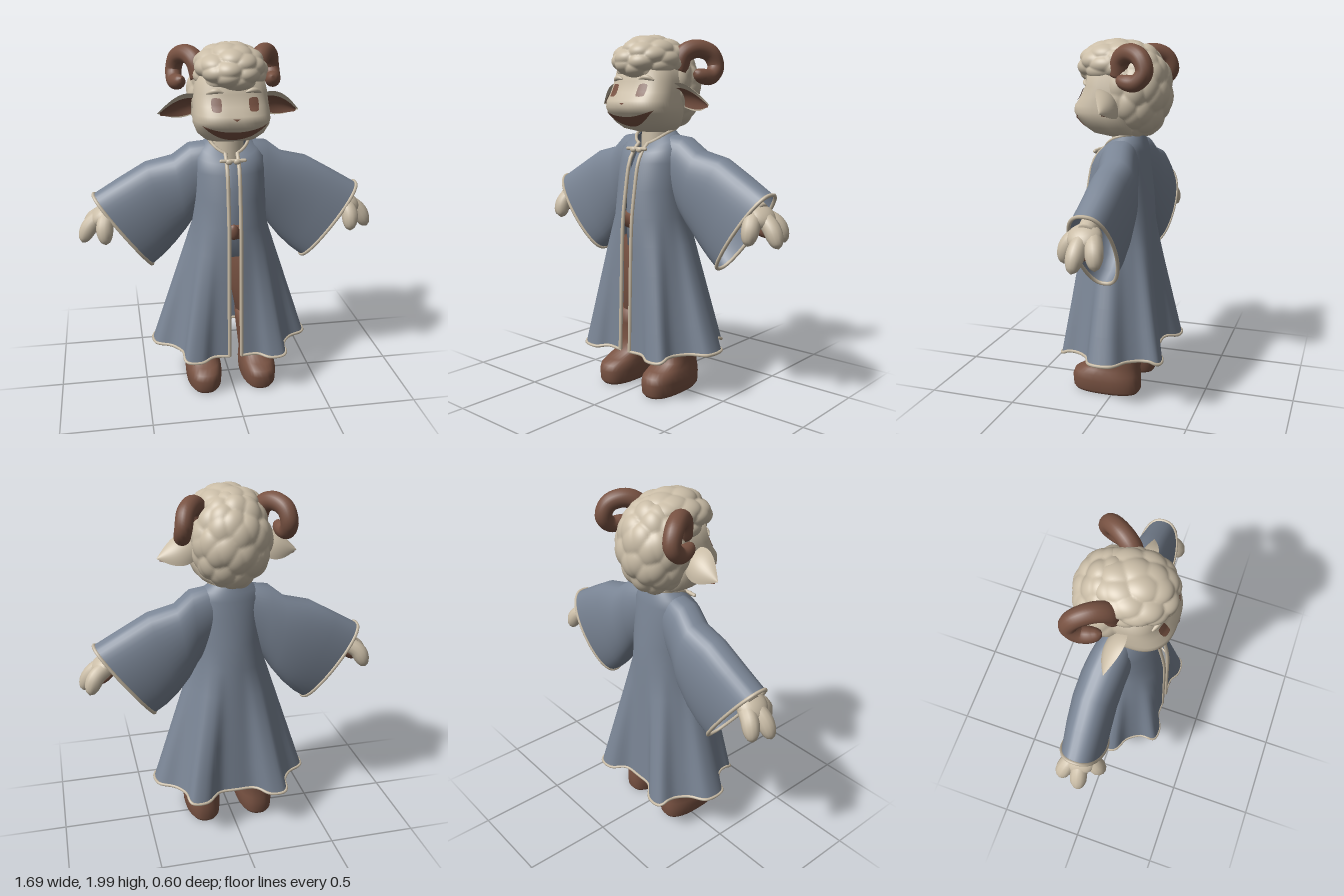
import * as THREE from 'three';
import { mergeVertices } from 'three/addons/utils/BufferGeometryUtils.js';

const V = (x, y, z) => new THREE.Vector3(x, y, z);
const lerp = THREE.MathUtils.lerp;

// Skin a list of point loops; loops run counter-clockwise about the direction of travel
function loft(loops, { closed = true, caps = true } = {}) {
  const n = loops[0].length, pts = loops.flat(), idx = [];
  for (let i = 0; i < loops.length - 1; i++) {
    for (let j = 0; j < (closed ? n : n - 1); j++) {
      const a = i * n + j, b = i * n + (j + 1) % n;
      idx.push(a, b, a + n, b, b + n, a + n);
    }
  }
  if (caps) {
    [[loops[0], 0, true], [loops.at(-1), (loops.length - 1) * n, false]].forEach(([loop, o, start]) => {
      const c = pts.push(loop.reduce((s, p) => s.add(p), V(0, 0, 0)).divideScalar(n)) - 1;
      for (let j = 0; j < n; j++) {
        const a = o + j, b = o + (j + 1) % n;
        start ? idx.push(c, b, a) : idx.push(c, a, b);
      }
    });
  }
  const g = new THREE.BufferGeometry().setFromPoints(pts);
  g.setIndex(idx);
  g.computeVertexNormals();
  return g;
}

// Horizontal rounded loop: [y, half width, front z, back z, centre x]
function ring([y, hw, zf, zb, cx = 0], power = 2, n = 32) {
  const f = v => Math.sign(v) * Math.abs(v) ** (2 / power);
  return Array.from({ length: n }, (_, i) => {
    const t = i / n * Math.PI * 2;
    return V(cx + hw * f(Math.sin(t)), y, (zf + zb) / 2 + (zf - zb) / 2 * f(Math.cos(t)));
  });
}

// Tube along a curve whose radius follows a function of t
function taper(points, radius, steps = 24, sides = 14) {
  const c = new THREE.CatmullRomCurve3(points), fr = c.computeFrenetFrames(steps);
  return loft(Array.from({ length: steps + 1 }, (_, i) => {
    const p = c.getPointAt(i / steps), r = radius(i / steps);
    return Array.from({ length: sides }, (_, j) => {
      const a = j / sides * Math.PI * 2;
      return p.clone().addScaledVector(fr.normals[i], r * Math.cos(a)).addScaledVector(fr.binormals[i], r * Math.sin(a));
    });
  }));
}

const trim = (points, r, closed = false) =>
  new THREE.TubeGeometry(new THREE.CatmullRomCurve3(points, closed), points.length * 2, r, 6, closed);

function ball(x, y, z, rx, ry, rz, tilt = 0) {
  return new THREE.SphereGeometry(1, 20, 14).scale(rx, ry, rz).rotateZ(tilt).translate(x, y, z);
}

function mirrored(geo) {
  const g = geo.clone().scale(-1, 1, 1), ix = g.index.array;
  for (let i = 0; i < ix.length; i += 3) [ix[i], ix[i + 1]] = [ix[i + 1], ix[i]];
  return g;
}

// Ellipsoid covered with rounded clumps of wool
function woolBall(center, radii, clumps, depth) {
  let g = new THREE.IcosahedronGeometry(1, 24);
  g.deleteAttribute('uv');
  g.deleteAttribute('normal');
  g = mergeVertices(g, 1e-4);
  const seeds = Array.from({ length: clumps }, (_, i) => {
    const y = 1 - 2 * (i + 0.5) / clumps, a = i * 2.39996 + 0.35 * Math.sin(i * 5.1), r = Math.sqrt(1 - y * y);
    return V(r * Math.cos(a), y, r * Math.sin(a));
  });
  const p = g.attributes.position, v = V(0, 0, 0);
  for (let i = 0; i < p.count; i++) {
    v.fromBufferAttribute(p, i).normalize();
    const d = Math.min(...seeds.map(s => s.distanceToSquared(v)));
    v.multiplyScalar(1 + depth * (0.5 - d * clumps / 6)).multiply(radii).add(center);
    p.setXYZ(i, v.x, v.y, v.z);
  }
  g.computeVertexNormals();
  return g;
}

// Face rows, and the depth of the face surface at a point
const FACE = [[1.465, 0.09, 0.08, -0.1], [1.485, 0.145, 0.16, -0.1], [1.52, 0.182, 0.205, -0.1], [1.57, 0.203, 0.25, -0.1],
  [1.6, 0.206, 0.267, -0.1], [1.635, 0.205, 0.262, -0.1], [1.68, 0.2, 0.228, -0.1], [1.74, 0.195, 0.2, -0.1], [1.85, 0.17, 0.18, -0.1]];
const FACE_POWER = 2.7;
function faceZ(x, y) {
  const i = Math.max(1, FACE.findIndex(r => r[0] >= y)), a = FACE[i - 1], b = FACE[i];
  const k = (y - a[0]) / (b[0] - a[0]), [hw, zf, zb] = [1, 2, 3].map(c => lerp(a[c], b[c], k));
  return (zf + zb) / 2 + (zf - zb) / 2 * Math.max(0, 1 - Math.abs(x / hw) ** FACE_POWER) ** (1 / FACE_POWER);
}

// Thin painted patch that hugs the face between two curves
function facePatch(x0, x1, low, high) {
  const rows = Array.from({ length: 9 }, (_, i) => Array.from({ length: 25 }, (_, j) => {
    const x = lerp(x0, x1, j / 24), y = lerp(low(x), high(x), i / 8);
    return V(x, y, faceZ(x, y) + 0.006);
  }));
  return loft(rows, { closed: false, caps: false });
}

export function createModel() {
  const model = new THREE.Group();
  const make = (name, color) => new THREE.MeshStandardMaterial({ name, color, side: THREE.DoubleSide });
  const blue = make('robeBlue', 0x7a8595);
  const cream = make('woolCream', 0xcabda7);
  const brown = make('leatherBrown', 0x785242);
  const add = (name, geo, mat) => {
    const m = new THREE.Mesh(geo, mat);
    m.name = name;
    model.add(m);
  };
  const both = (name, geo, mat) => {
    add(name + 'Left', geo, mat);
    add(name + 'Right', mirrored(geo), mat);
  };

  // Robe: elliptical shoulders blending down into a deeply folded hem
  const hem = new THREE.CatmullRomCurve3([[0.035, 0.255], [0.13, 0.255], [0.2, 0.29], [0.285, 0.278], [0.295, 0.19], [0.35, 0.11],
    [0.44, 0.06], [0.44, -0.06], [0.35, -0.12], [0.3, -0.19], [0.28, -0.28], [0.19, -0.285], [0.1, -0.22], [0, -0.215]]
    .map(([x, z]) => V(x, 0, z))).getPoints(52);
  const rows = [[0.25], [0.4], [0.55], [0.7], [0.85], [1.0, 0.21, 0.23, -0.18], [1.15, 0.205, 0.208, -0.17], [1.3, 0.205, 0.178, -0.15],
    [1.39, 0.2, 0.15, -0.14], [1.435, 0.165, 0.13, -0.13], [1.478, 0.11, 0.1, -0.115]];
  const robe = rows.map(([y, hw = 0.21, zf = 0.235, zb = -0.18]) => {
    const w = Math.max(0, (1.0 - y) / 0.75), dip = Math.max(0, (y - 1.3) / 0.178) * 0.08;
    const half = hem.map((h, i) => {
      const t = lerp(Math.asin(0.033 / hw), Math.PI, i / (hem.length - 1));
      const sag = w * (0.015 * Math.sin(t) ** 2 - 0.02 * Math.max(0, Math.abs(h.z) - 0.24) / 0.05);
      return V(lerp(hw * Math.sin(t), h.x, w), y - dip * ((1 + Math.cos(t)) / 2) ** 3 + sag,
        lerp((zf + zb) / 2 + (zf - zb) / 2 * Math.cos(t), h.z, w));
    });
    return [...half, ...half.slice(0, -1).reverse().map(p => V(-p.x, p.y, p.z))];
  });
  add('robe', loft(robe, { closed: false, caps: false }), blue);
  add('hemTrim', trim(robe[0], 0.009), cream);
  add('collarTrim', trim(robe.at(-1), 0.009), cream);
  both('frontTrim', trim(robe.map(r => r[0]), 0.011), cream);

  // Clasp below the collar
  add('claspBar', new THREE.CapsuleGeometry(0.01, 0.13, 4, 8).rotateZ(Math.PI / 2).translate(0, 1.375, 0.152), cream);
  both('claspKnot', ball(0.022, 1.37, 0.156, 0.02, 0.016, 0.012), cream);

  // Wide bell sleeves: [top x, top y, bottom x, bottom y, half depth, centre z]
  const sleeve = [[0.1, 1.455, 0.12, 1.1, 0.1, -0.02], [0.22, 1.44, 0.19, 1.02, 0.115, -0.03], [0.31, 1.37, 0.24, 0.94, 0.12, -0.045],
    [0.46, 1.335, 0.31, 0.85, 0.12, -0.05], [0.61, 1.25, 0.375, 0.785, 0.118, -0.045], [0.755, 1.165, 0.44, 0.735, 0.113, -0.035]]
    .map(([tx, ty, bx, by, zw, zc]) => Array.from({ length: 40 }, (_, i) => {
      const a = i / 40 * Math.PI * 2, k = (1 + Math.cos(a)) / 2, s = Math.sin(a);
      return V(lerp(bx, tx, k), lerp(by, ty, k), zc + zw * Math.sign(s) * Math.abs(s) ** 0.8 * (1 + 0.08 * Math.cos(a)));
    }));
  both('sleeve', loft(sleeve, { caps: false }), blue);
  both('cuffTrim', trim(sleeve.at(-1), 0.01, true), cream);

  // Arms, mitten hands and brown palm pads
  both('arm', taper([V(0.35, 1.24, -0.04), V(0.55, 1.16, -0.04), V(0.7, 1.07, -0.03)], () => 0.05), cream);
  both('palm', ball(0.705, 1.05, -0.025, 0.085, 0.055, 0.088, -0.6), cream);
  const finger = t => 0.047 * Math.sqrt(Math.max(0.002, 1 - Math.max(0, (t - 0.5) / 0.5) ** 2));
  [['middleFinger', V(0.71, 1.05, -0.02), V(0.775, 1.0, -0.01), V(0.83, 0.9, 0)],
    ['outerFinger', V(0.69, 1.05, -0.06), V(0.755, 1.01, -0.09), V(0.8, 0.915, -0.11)],
    ['thumb', V(0.68, 1.06, 0.01), V(0.7, 1.01, 0.06), V(0.7, 0.91, 0.09)]]
    .forEach(([name, ...path]) => both(name, taper(path, finger, 16, 12), cream));
  both('palmPad', ball(0.695, 1.0, -0.03, 0.078, 0.03, 0.068, -0.75), brown);

  // Clothes under the robe
  add('tunic', loft([[0.82, 0.15, 0.16, -0.13], [1.0, 0.15, 0.165, -0.13], [1.2, 0.15, 0.155, -0.12], [1.36, 0.1, 0.09, -0.09]].map(r => ring(r))), blue);
  add('belt', loft([[0.93, 0.16, 0.175, -0.14], [1.01, 0.16, 0.175, -0.14]].map(r => ring(r))), brown);
  add('beltKnot', ball(0, 0.975, 0.18, 0.03, 0.045, 0.02), brown);

  // Trouser legs and rounded boots
  both('trouserLeg', loft([[0.36, 0.09, 0.08, -0.13, 0.145], [0.6, 0.1, 0.1, -0.12, 0.11], [0.86, 0.1, 0.13, -0.12, 0.09]].map(r => ring(r))), brown);
  both('boot', loft([[0, 0.085, 0.235, -0.135, 0.163], [0.02, 0.1, 0.25, -0.148, 0.163], [0.08, 0.104, 0.255, -0.15, 0.163],
    [0.115, 0.1, 0.243, -0.148, 0.162], [0.14, 0.093, 0.2, -0.146, 0.16], [0.17, 0.09, 0.12, -0.145, 0.157], [0.24, 0.094, 0.09, -0.145, 0.154],
    [0.34, 0.102, 0.1, -0.15, 0.15], [0.42, 0.104, 0.105, -0.15, 0.15]].map(r => ring(r, 2.5))), brown);

  // Neck, face and wool
  add('neck', new THREE.CylinderGeometry(0.085, 0.09, 0.16, 20).translate(0, 1.43, -0.02), cream);
  add('face', loft(FACE.map(r => ring(r, FACE_POWER, 64))), cream);
  add('backWool', woolBall(V(0, 1.71, -0.075), V(0.215, 0.255, 0.195), 70, 0.07), cream);
  add('topWool', woolBall(V(0, 1.85, 0.03), V(0.195, 0.137, 0.222), 44, 0.1), cream);

  // Painted face details
  const oval = (x, c, hw, h) => h * Math.max(0, 1 - ((x - c) / hw) ** 4) ** 0.25;
  both('eye', facePatch(0.071, 0.125, x => 1.692 - oval(x, 0.098, 0.027, 0.034), x => 1.692 + oval(x, 0.098, 0.027, 0.034)), brown);
  add('mouth', facePatch(-0.175, 0.175, x => 1.497 + 0.09 * (x / 0.175) ** 2, x => 1.55 + 0.037 * (x / 0.175) ** 2), brown);
  add('nose', facePatch(-0.018, 0.018, x => 1.614 + 0.6 * Math.abs(x), () => 1.626), brown);
  both('brow', taper([V(0.06, 1.752, 0.197), V(0.1, 1.76, 0.19), V(0.145, 1.745, 0.172)], t => 0.004 + 0.01 * Math.sin(t * Math.PI)), cream);

  // Drooping cupped ears with a brown lining
  const ear = (width, u0, u1, lift, shift) => loft(Array.from({ length: 17 }, (_, i) => {
    const u = lerp(u0, u1, i / 16), w = width * Math.sin(Math.PI * Math.min(0.999, 0.25 + 0.75 * u));
    return Array.from({ length: 13 }, (_, j) => {
      const v = 1 - j / 6, out = lift - 0.4 * w * (1 - v * v), across = v * w + shift;
      return V(0.17 + 0.22 * u, 1.665 - 0.015 * u - 0.035 * u * u + 0.8 * across - 0.6 * out, 0.02 - 0.01 * u + 0.6 * across + 0.8 * out);
    });
  }), { closed: false, caps: false });
  both('ear', ear(0.092, 0, 1, 0, 0), cream);
  both('earLining', ear(0.068, 0.15, 0.93, 0.004, -0.008), brown);

  // Curled horns, tapering to the tip
  both('horn', taper([V(0.15, 1.8, -0.02), V(0.175, 1.885, -0.04), V(0.215, 1.916, -0.1), V(0.26, 1.89, -0.17), V(0.277, 1.82, -0.195),
    V(0.277, 1.767, -0.15), V(0.262, 1.77, -0.085), V(0.25, 1.795, -0.04)],
    t => 0.055 * (1 - 0.25 * t) * Math.sqrt(Math.max(0.003, 1 - Math.max(0, (t - 0.85) / 0.15) ** 2)), 48, 16), brown);

  return model;
}
